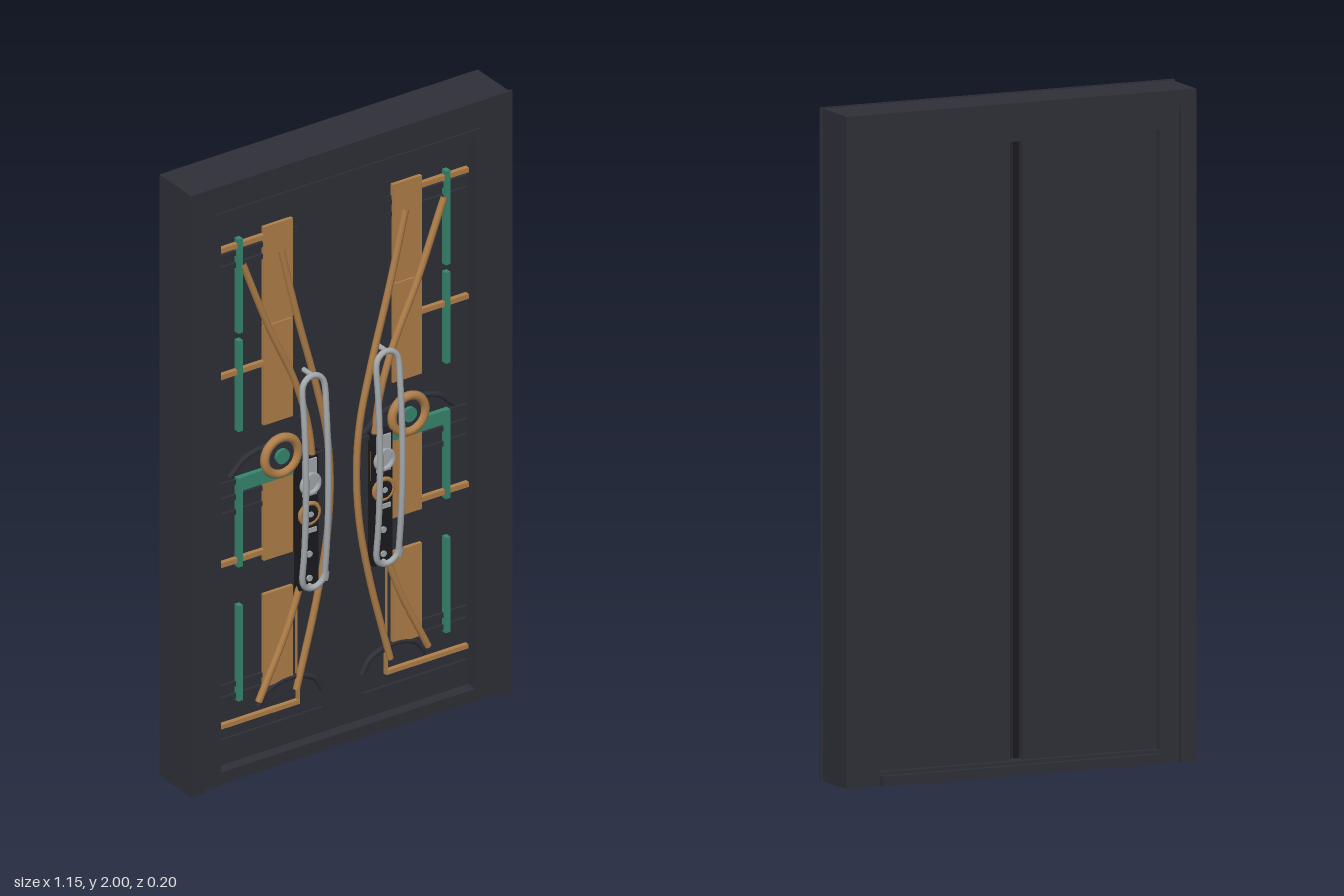
import * as THREE from 'three';

const mat = (name, color) => {
  const m = new THREE.MeshStandardMaterial({ color });
  m.name = name;
  return m;
};

export function createModel() {
  const charcoal = mat('charcoal', 0x2f2f38);
  const black = mat('black', 0x1b1b20);
  const bronze = mat('bronze', 0xb07f49);
  const teal = mat('teal', 0x37866f);
  const silver = mat('silver', 0xa4a9ac);
  const model = new THREE.Group();
  model.name = 'doubleDoor';

  const add = (parent, name, geometry, material) => {
    const mesh = new THREE.Mesh(geometry, material);
    mesh.name = name;
    parent.add(mesh);
    return mesh;
  };
  // box given by its limits on each axis
  const box = (parent, name, material, x0, x1, y0, y1, z0, z1) =>
    add(parent, name, new THREE.BoxGeometry(Math.abs(x1 - x0), y1 - y0, z1 - z0), material)
      .position.set((x0 + x1) / 2, (y0 + y1) / 2, (z0 + z1) / 2);
  // smooth rod through points
  const rod = (parent, name, material, points, r, closed = false) =>
    add(parent, name, new THREE.TubeGeometry(
      new THREE.CatmullRomCurve3(points.map(p => new THREE.Vector3(...p)), closed, 'centripetal'),
      64, r, 8, closed), material);
  const ring = (parent, name, material, x, y, z, R, r) =>
    add(parent, name, new THREE.TorusGeometry(R, r, 10, 32), material).position.set(x, y, z);
  const disc = (parent, name, material, x, y, z, r, depth) => {
    const m = add(parent, name, new THREE.CylinderGeometry(r, r, depth, 20), material);
    m.rotation.x = Math.PI / 2;
    m.position.set(x, y, z);
  };
  // portal shape: two posts joined by a head
  const portal = (name, outer, inner, top, head, z0, z1) => {
    const s = new THREE.Shape([[-outer, 0], [-inner, 0], [-inner, head], [inner, head],
      [inner, 0], [outer, 0], [outer, top], [-outer, top]].map(p => new THREE.Vector2(...p)));
    const g = new THREE.ExtrudeGeometry(s, { depth: z1 - z0, bevelEnabled: false });
    add(model, name, g.translate(0, 0, z0), charcoal);
  };

  // stepped frame and sill
  portal('outerFrame', 0.568, 0.518, 1.997, 1.95, -0.095, 0.068);
  portal('frontTrim', 0.575, 0.525, 2, 1.955, 0.066, 0.074);
  portal('innerCasing', 0.52, 0.455, 1.952, 1.88, -0.08, 0.055);
  portal('casingBead', 0.475, 0.455, 1.9, 1.88, 0.05, 0.06);
  box(model, 'sill', charcoal, -0.455, 0.455, 0, 0.04, -0.08, 0.055);
  box(model, 'backSillLip', charcoal, -0.452, 0.452, 0, 0.03, -0.1, -0.075);

  for (const s of [1, -1]) {
    const door = new THREE.Group();
    door.name = s > 0 ? 'leftDoor' : 'rightDoor';
    model.add(door);
    const b = (name, m, x0, x1, y0, y1, z0, z1) => box(door, name, m, s * x0, s * x1, y0, y1, z0, z1);
    const t = (name, m, pts, r) => rod(door, name, m, pts.map(([x, y, z]) => [s * x, y, z]), r);

    // leaf with a stepped meeting edge at the back
    b('doorLeaf', charcoal, 0.02, 0.456, 0.038, 1.882, -0.06, 0.018);
    b('meetingEdge', charcoal, 0.004, 0.02, 0.038, 1.882, -0.03, 0.018);
    b('meetingGroove', black, 0.004, 0.02, 0.04, 1.88, -0.036, -0.03);

    // dark mouldings
    for (const [y, x0, x1] of [[1.73, 0.16, 0.445], [1.69, 0.16, 0.445], [0.97, 0.06, 0.445],
      [0.92, 0.285, 0.445], [0.87, 0.285, 0.445], [0.3, 0.285, 0.445], [0.26, 0.285, 0.445], [0.12, 0.07, 0.445]])
      b('moulding', charcoal, x0, x1, y - 0.008, y + 0.008, 0.016, 0.026);
    b('slabBacking', charcoal, 0.155, 0.2, 1.08, 1.75, 0.016, 0.024);
    t('middleArch', charcoal, [[0.08, 0.99, 0.022], [0.14, 1.035, 0.022], [0.24, 1.055, 0.022],
      [0.34, 1.04, 0.022], [0.4, 0.99, 0.022]], 0.009);
    t('lowerArch', charcoal, [[0.07, 0.19, 0.024], [0.1, 0.235, 0.024], [0.18, 0.262, 0.024],
      [0.26, 0.245, 0.024], [0.3, 0.2, 0.024]], 0.009);

    // broad bronze panels
    for (const [y0, y1] of [[0.26, 0.568], [0.68, 0.94], [1.13, 1.457], [1.461, 1.788]])
      b('bronzePanel', bronze, 0.178, 0.282, y0, y1, 0.016, 0.03);
    // slim bronze bars
    for (const y of [1.757, 1.337, 0.712])
      b('bronzeBar', bronze, 0.28, 0.447, y - 0.008, y + 0.008, 0.016, 0.033);
    b('bottomBar', bronze, 0.155, 0.445, 0.168, 0.182, 0.016, 0.033);
    b('bottomRiser', bronze, 0.153, 0.161, 0.168, 0.235, 0.016, 0.03);
    b('thinRiser', bronze, 0.158, 0.163, 0.26, 0.56, 0.016, 0.024);

    // teal bars
    for (const [y0, y1] of [[0.245, 0.562], [0.69, 0.985], [1.14, 1.442], [1.467, 1.78]])
      b('tealBar', teal, 0.362, 0.378, y0, y1, 0.016, 0.037);
    b('tealArm', teal, 0.18, 0.378, 0.94, 0.985, 0.016, 0.035);

    // sweeping bronze bows
    t('outerBow', bronze, [[0.222, 1.695, 0.032], [0.165, 1.46, 0.032], [0.095, 1.2, 0.032],
      [0.058, 1.03, 0.032], [0.047, 0.87, 0.032], [0.058, 0.7, 0.032], [0.095, 0.5, 0.032], [0.167, 0.22, 0.032]], 0.011);
    t('innerBow', bronze, [[0.36, 1.695, 0.032], [0.265, 1.45, 0.032], [0.175, 1.25, 0.032],
      [0.125, 1.08, 0.032], [0.108, 0.88, 0.032], [0.125, 0.68, 0.032], [0.19, 0.46, 0.032], [0.302, 0.22, 0.032]], 0.011);

    // ring ornament
    ring(door, 'bronzeRing', bronze, s * 0.227, 1.018, 0.04, 0.059, 0.014);
    disc(door, 'ringBack', charcoal, s * 0.227, 1.018, 0.029, 0.055, 0.022);
    disc(door, 'tealKnob', teal, s * 0.227, 1.018, 0.038, 0.024, 0.024);

    // lock plate with cylinder, rings and studs
    const cx = s * 0.132;
    b('lockPlate', black, 0.098, 0.166, 0.55, 0.985, 0.016, 0.046);
    b('latchBlock', silver, 0.107, 0.157, 0.86, 0.98, 0.045, 0.052);
    ring(door, 'latchRing', silver, cx, 0.9, 0.054, 0.03, 0.008);
    disc(door, 'latchKnob', silver, cx, 0.92, 0.056, 0.018, 0.016);
    ring(door, 'keyRing', bronze, cx, 0.8, 0.048, 0.033, 0.007);
    disc(door, 'keyCylinder', black, cx, 0.8, 0.048, 0.027, 0.014);
    disc(door, 'keyhole', silver, cx, 0.8, 0.052, 0.009, 0.012);
    b('lockCrossbar', silver, 0.107, 0.157, 0.735, 0.75, 0.04, 0.05);
    for (const y of [0.665, 0.585]) disc(door, 'stud', silver, cx, y, 0.047, 0.01, 0.008);

    // bowed loop handle on two posts
    const yTop = 1.225, yLow = 0.6, loop = [];
    const put = (x, y) => loop.push([x, y, 0.063 + 0.025 * (1 - ((y - 0.91) / 0.36) ** 2)]);
    for (let i = 0; i < 8; i++) put(cx + 0.04, yLow + (yTop - yLow) * i / 8);
    for (let i = 0; i <= 6; i++)
      put(cx + 0.04 * Math.cos(i * Math.PI / 6), yTop + 0.04 * Math.sin(i * Math.PI / 6));
    for (let i = 1; i < 8; i++) put(cx - 0.04, yTop - (yTop - yLow) * i / 8);
    for (let i = 0; i <= 6; i++)
      put(cx - 0.04 * Math.cos(i * Math.PI / 6), yLow - 0.04 * Math.sin(i * Math.PI / 6));
    add(door, 'loopHandle', new THREE.TubeGeometry(new THREE.CatmullRomCurve3(
      loop.map(p => new THREE.Vector3(...p)), true, 'centripetal'), 120, 0.0095, 10, true), silver);
    for (const y of [yTop + 0.04, yLow - 0.04]) disc(door, 'handlePost', silver, cx, y, 0.04, 0.008, 0.05);
  }
  return model;
}
